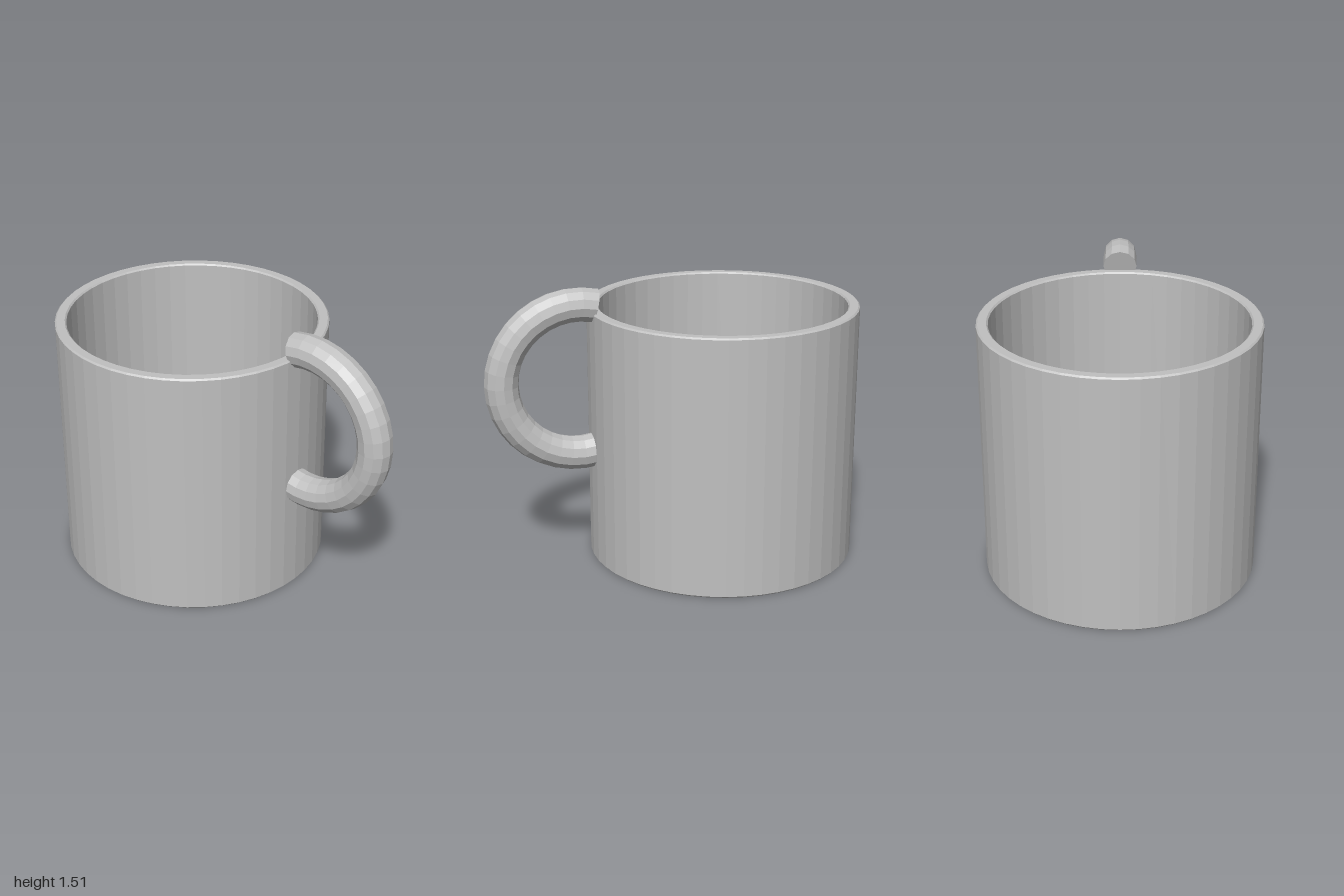
import * as THREE from 'three';
import { mergeGeometries } from 'three/addons/utils/BufferGeometryUtils.js';

const RADIUS = 0.72, INNER = 0.66, HEIGHT = 1.38, FLOOR = 0.06, BEVEL = 0.008;
const SIDES = 48;

// Facets each face by giving it its own normal.
function facet(geometry) {
  const flat = geometry.toNonIndexed();
  flat.computeVertexNormals();
  return flat;
}

// Cup wall, rim and floor as one turned profile with tiny bevels.
function cupGeometry() {
  const profile = [
    [0, 0], [RADIUS - BEVEL, 0], [RADIUS, BEVEL],
    [RADIUS, HEIGHT - BEVEL], [RADIUS - BEVEL, HEIGHT],
    [INNER + BEVEL, HEIGHT], [INNER, HEIGHT - BEVEL],
    [INNER, FLOOR + BEVEL], [INNER - BEVEL, FLOOR], [0, FLOOR],
  ].map(([r, y]) => new THREE.Vector2(r, y));
  return facet(new THREE.LatheGeometry(profile, SIDES));
}

// Partial ring closed with a disc at each end.
function handleGeometry(ring, tube, halfArc) {
  const sides = 12;
  const bend = new THREE.TorusGeometry(ring, tube, sides, 20, halfArc * 2).rotateZ(-halfArc);
  const caps = [-1, 1].map((end) =>
    new THREE.CircleGeometry(tube, sides)
      .rotateX(-end * Math.PI / 2)
      .translate(ring, 0, 0)
      .rotateZ(end * halfArc));
  return facet(mergeGeometries([bend, ...caps]));
}

export function createModel() {
  const ceramic = new THREE.MeshStandardMaterial({ color: 0xc0c0c0 });
  ceramic.name = 'grey ceramic';

  const cup = new THREE.Mesh(cupGeometry(), ceramic);
  cup.name = 'cup';
  cup.position.x = -0.28;

  const handle = new THREE.Mesh(
    handleGeometry(0.403, 0.09, THREE.MathUtils.degToRad(103.5)), ceramic);
  handle.name = 'handle';
  handle.position.set(0.507, 1.013, 0);

  const mug = new THREE.Group();
  mug.name = 'mug';
  mug.add(cup, handle);
  return mug;
}
